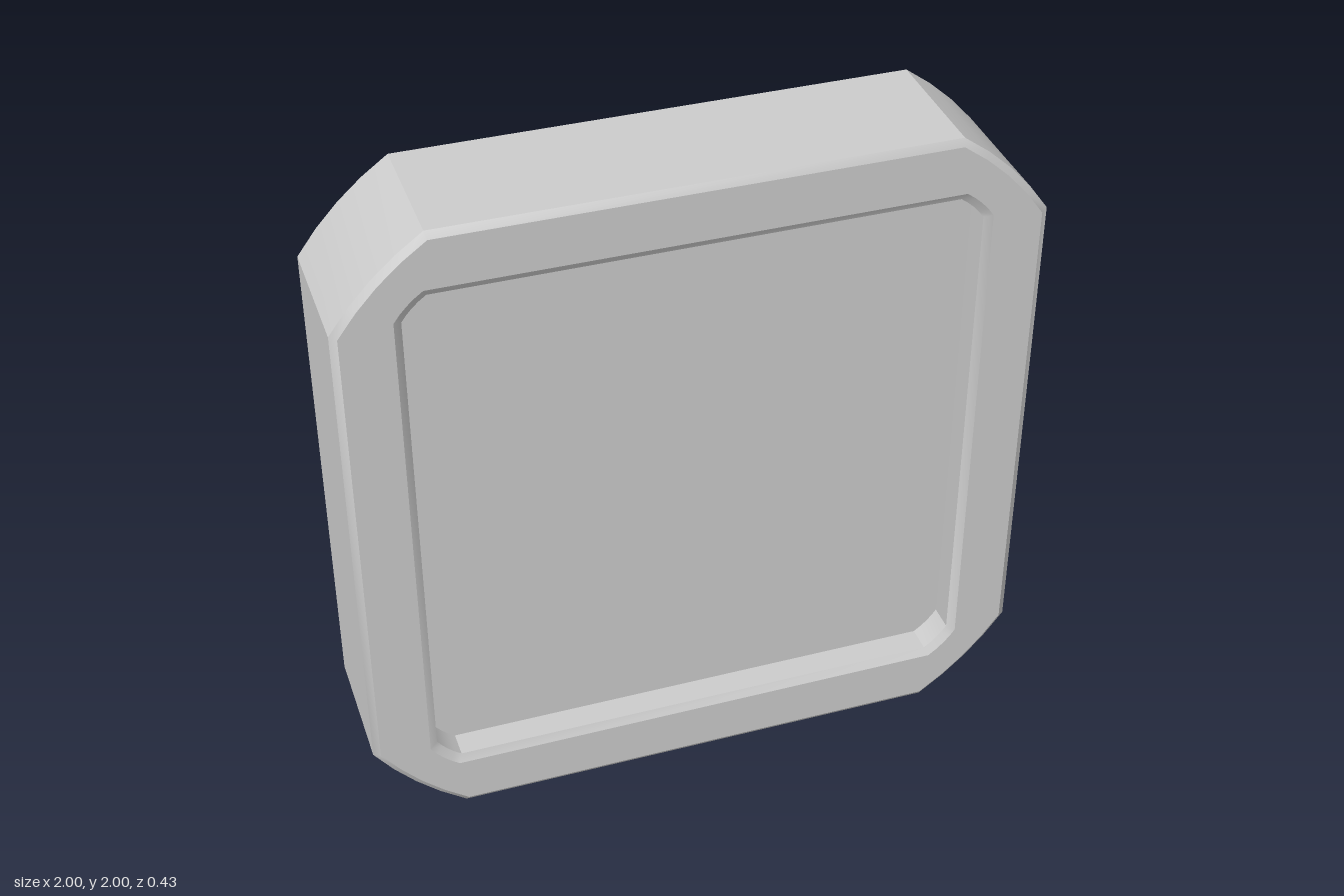
import * as THREE from 'three';
import { toCreasedNormals } from 'three/addons/utils/BufferGeometryUtils.js';

const CORNER_STEPS = 4;

// Square outline with gently bowed corners: e = half width, c = half length of the straight edge
function outline(e, c) {
  const k = c + (e - c) * 0.6;
  const corner = new THREE.QuadraticBezierCurve(
    new THREE.Vector2(e, c), new THREE.Vector2(k, k), new THREE.Vector2(c, e));
  const points = [];
  for (let q = 0; q < 4; q++) {
    for (const p of corner.getPoints(CORNER_STEPS)) {
      points.push(p.rotateAround(new THREE.Vector2(), q * Math.PI / 2));
    }
  }
  return points;
}

// Skin a series of [halfWidth, straightHalf, z] sections
function skin(sections) {
  const rings = sections.map(([e, c, z]) => outline(e, c).map(p => [p.x, p.y, z]));
  const n = rings[0].length;
  const index = [];
  for (let i = 0; i < rings.length - 1; i++) {
    for (let j = 0; j < n; j++) {
      const a = i * n + j, b = i * n + (j + 1) % n;
      index.push(a, b, b + n, a, b + n, a + n);
    }
  }
  const geometry = new THREE.BufferGeometry();
  geometry.setAttribute('position', new THREE.Float32BufferAttribute(rings.flat(2), 3));
  geometry.setIndex(index);
  return toCreasedNormals(geometry, 0.4);
}

export function createModel() {
  const group = new THREE.Group();
  const material = new THREE.MeshStandardMaterial({ color: 0xcccccc });

  // Frame section from the front recess out to the outer side
  const half = [
    [0.81, 0.74, 0.12],
    [0.81, 0.74, 0.2],
    [0.833, 0.75, 0.215],
    [0.98, 0.73, 0.215],
    [1, 0.735, 0.2],
  ];
  const back = half.map(([e, c, z]) => [e, c, -z]);
  const frame = new THREE.Mesh(skin([...back, ...half.reverse()]), material);
  frame.name = 'frame';
  frame.position.y = 1;
  group.add(frame);

  // Recessed panels on both faces
  const panelGeometry = new THREE.ShapeGeometry(new THREE.Shape(outline(0.81, 0.74)));
  for (const side of [1, -1]) {
    const panel = new THREE.Mesh(panelGeometry, material);
    panel.name = side > 0 ? 'frontPanel' : 'backPanel';
    panel.position.set(0, 1, side * 0.12);
    if (side < 0) panel.rotation.y = Math.PI;
    group.add(panel);
  }
  return group;
}
